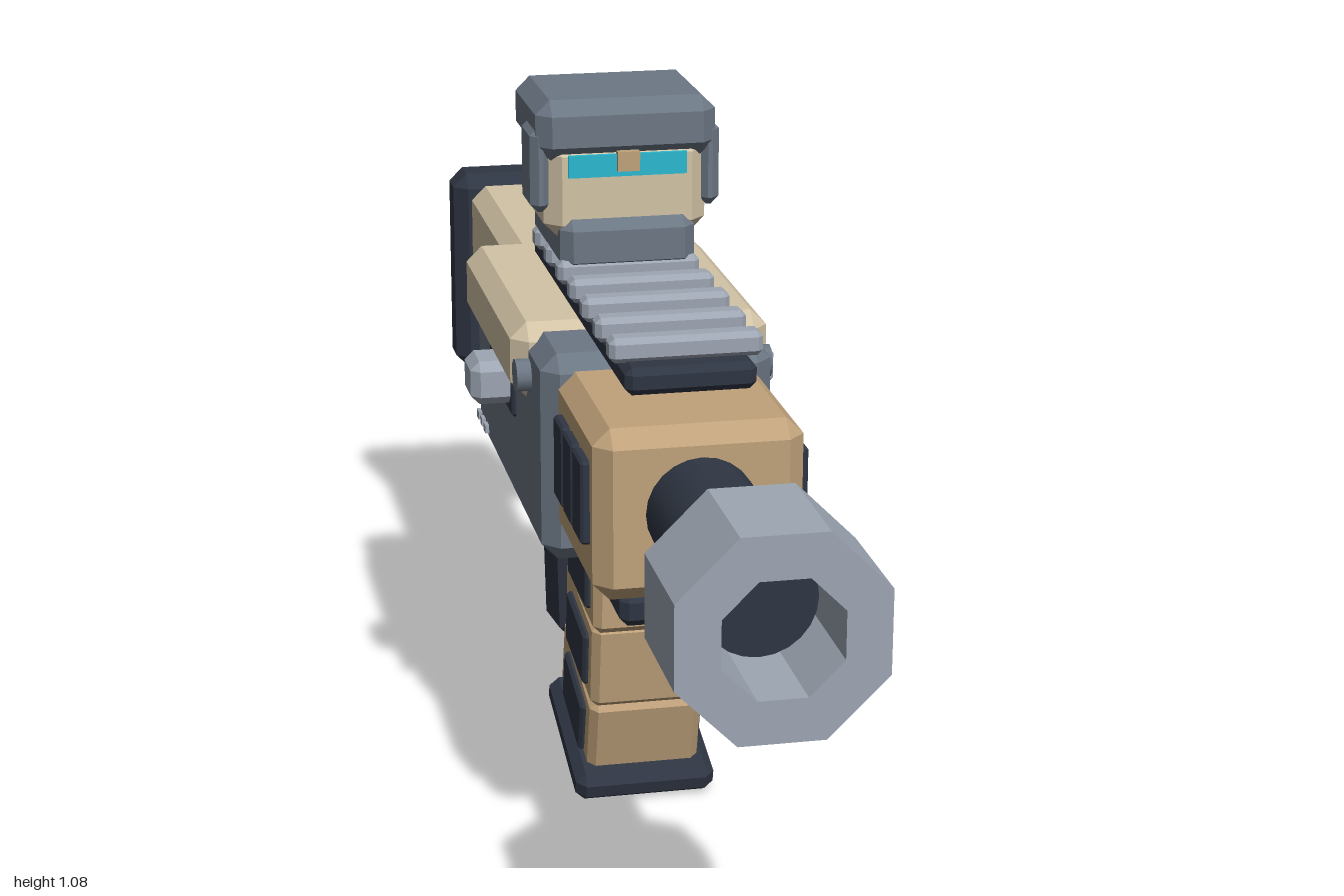
import * as THREE from 'three';
import { ConvexGeometry } from 'three/addons/geometries/ConvexGeometry.js';

const mat = (name, color) => {
  const m = new THREE.MeshStandardMaterial({ color });
  m.name = name;
  return m;
};

// Box with bevelled edges and corners
function bevelBox(w, h, d, c) {
  const pts = [];
  const [x, y, z] = [w / 2, h / 2, d / 2];
  for (const i of [-1, 1]) for (const j of [-1, 1]) for (const k of [-1, 1]) {
    pts.push(
      new THREE.Vector3(i * x, j * (y - c), k * (z - c)),
      new THREE.Vector3(i * (x - c), j * y, k * (z - c)),
      new THREE.Vector3(i * (x - c), j * (y - c), k * z));
  }
  return new ConvexGeometry(pts);
}

export function createModel() {
  const model = new THREE.Group();
  model.name = 'blaster';
  const cream = mat('cream', 0xd2c3a6);
  const tan = mat('tan', 0xc0a27b);
  const grey = mat('grey', 0x6c7784);
  const light = mat('lightGrey', 0x9da6b3);
  const dark = mat('dark', 0x2f3643);
  const teal = mat('teal', 0x2bb9d0);

  const add = (name, geometry, material, x, y, z, tilt = 0) => {
    const m = new THREE.Mesh(geometry, material);
    m.name = name;
    m.position.set(x, y, z);
    m.rotation.x = tilt;
    model.add(m);
    return m;
  };
  // Bevelled box given by its ranges in y and z, centred on x = 0
  const block = (name, material, w, y0, y1, z0, z1, c) =>
    add(name, bevelBox(w, y1 - y0, z1 - z0, c), material, 0, (y0 + y1) / 2, (z0 + z1) / 2);
  // Mirrored pair of boxes given by ranges
  const pair = (name, material, x0, x1, y0, y1, z0, z1, c) => {
    for (const s of [-1, 1]) {
      add(name, bevelBox(x1 - x0, y1 - y0, z1 - z0, c), material,
        s * (x0 + x1) / 2, (y0 + y1) / 2, (z0 + z1) / 2);
    }
  };

  // Body
  block('receiver', grey, 0.346, 0.445, 0.765, -0.395, 0.25, 0.025);
  block('topCover', cream, 0.394, 0.66, 0.778, -0.365, 0.125, 0.025);
  block('handguard', tan, 0.3, 0.49, 0.743, 0.2, 0.535, 0.025);
  for (const z of [0.31, 0.385, 0.46]) {
    pair('handguardVent', dark, 0.145, 0.163, 0.567, 0.69, z - 0.033, z + 0.033, 0.004);
  }
  block('lowerRail', dark, 0.21, 0.435, 0.485, 0.13, 0.49, 0.012);

  // Side fittings
  pair('ejectionPort', dark, 0.16, 0.18, 0.597, 0.684, -0.215, 0.005, 0.004);
  pair('boltHandle', light, 0.165, 0.24, 0.613, 0.682, -0.095, -0.007, 0.014);
  for (const s of [-1, 1]) {
    add('sidePin', new THREE.CylinderGeometry(0.025, 0.025, 0.05, 12), grey, s * 0.17, 0.705, 0.13)
      .rotation.z = Math.PI / 2;
    for (const z of [-0.13, -0.165, -0.2]) {
      add('sideMark', new THREE.BoxGeometry(0.006, 0.013, 0.02), light, s * 0.2, 0.537, z);
    }
  }

  // Barrel and octagonal muzzle with an open bore
  add('barrel', new THREE.CylinderGeometry(0.079, 0.079, 0.37, 24), dark, 0, 0.622, 0.685, Math.PI / 2);
  const octagon = (Type, apothem) => {
    const r = apothem / Math.cos(Math.PI / 8);
    return new Type(Array.from({ length: 8 }, (_, i) => {
      const a = (i + 0.5) * Math.PI / 4;
      return new THREE.Vector2(r * Math.cos(a), r * Math.sin(a));
    }));
  };
  const ring = octagon(THREE.Shape, 0.14);
  ring.holes.push(octagon(THREE.Path, 0.08));
  add('muzzle', new THREE.ExtrudeGeometry(ring, { depth: 0.18, bevelEnabled: false }), light, 0, 0.62, 0.82);

  // Top rail with cross ribs
  block('topRail', dark, 0.188, 0.772, 0.812, -0.29, 0.47, 0.01);
  for (let i = 0; i < 7; i++) {
    const z = 0.418 - i * 0.102;
    block('railRib', light, 0.22, 0.81, 0.846, z - 0.019, z + 0.019, 0.008);
  }

  // Head-shaped sight
  block('sightBase', grey, 0.208, 0.825, 0.91, -0.232, 0.028, 0.018);
  block('sightHead', cream, 0.25, 0.873, 1.03, -0.2, 0.012, 0.025);
  block('helmet', grey, 0.276, 0.998, 1.09, -0.205, 0.02, 0.022);
  pair('earGuard', grey, 0.115, 0.146, 0.917, 1.047, -0.092, 0.003, 0.012);
  add('visor', new THREE.BoxGeometry(0.182, 0.034, 0.008), teal, 0, 0.99, 0.013);
  add('visorNose', new THREE.BoxGeometry(0.034, 0.03, 0.02), tan, 0, 0.997, 0.015);

  // Curved magazine: y, z, height, depth, tilt
  const segments = [
    [0.385, 0.083, 0.16, 0.23, 0.03],
    [0.255, 0.062, 0.145, 0.235, 0.13],
    [0.135, 0.032, 0.14, 0.245, 0.25],
  ];
  for (const [y, z, h, d, tilt] of segments) {
    add('magazineSegment', bevelBox(0.176, h, d, 0.012), tan, 0, y, z, tilt);
    add('magazinePanel', bevelBox(0.194, 0.088, 0.148, 0.005), dark, 0, y - 0.004, z + 0.01, tilt);
  }
  add('magazineBase', bevelBox(0.22, 0.05, 0.275, 0.015), dark, 0, 0.062, 0.031, 0.26);

  // Rear grip
  add('grip', bevelBox(0.19, 0.31, 0.178, 0.025), dark, 0, 0.328, -0.152, -0.16);

  // Stock
  block('stock', cream, 0.214, 0.585, 0.74, -0.91, -0.43, 0.025);
  block('buttPlate', dark, 0.27, 0.387, 0.755, -1, -0.9, 0.024);
  block('stockHinge', grey, 0.27, 0.508, 0.668, -0.565, -0.453, 0.025);
  add('stockStrut', new THREE.CylinderGeometry(0.042, 0.042, 0.41, 20), grey,
    0, 0.465, -0.688, Math.PI / 2 - 0.2 + Math.PI);

  return model;
}
